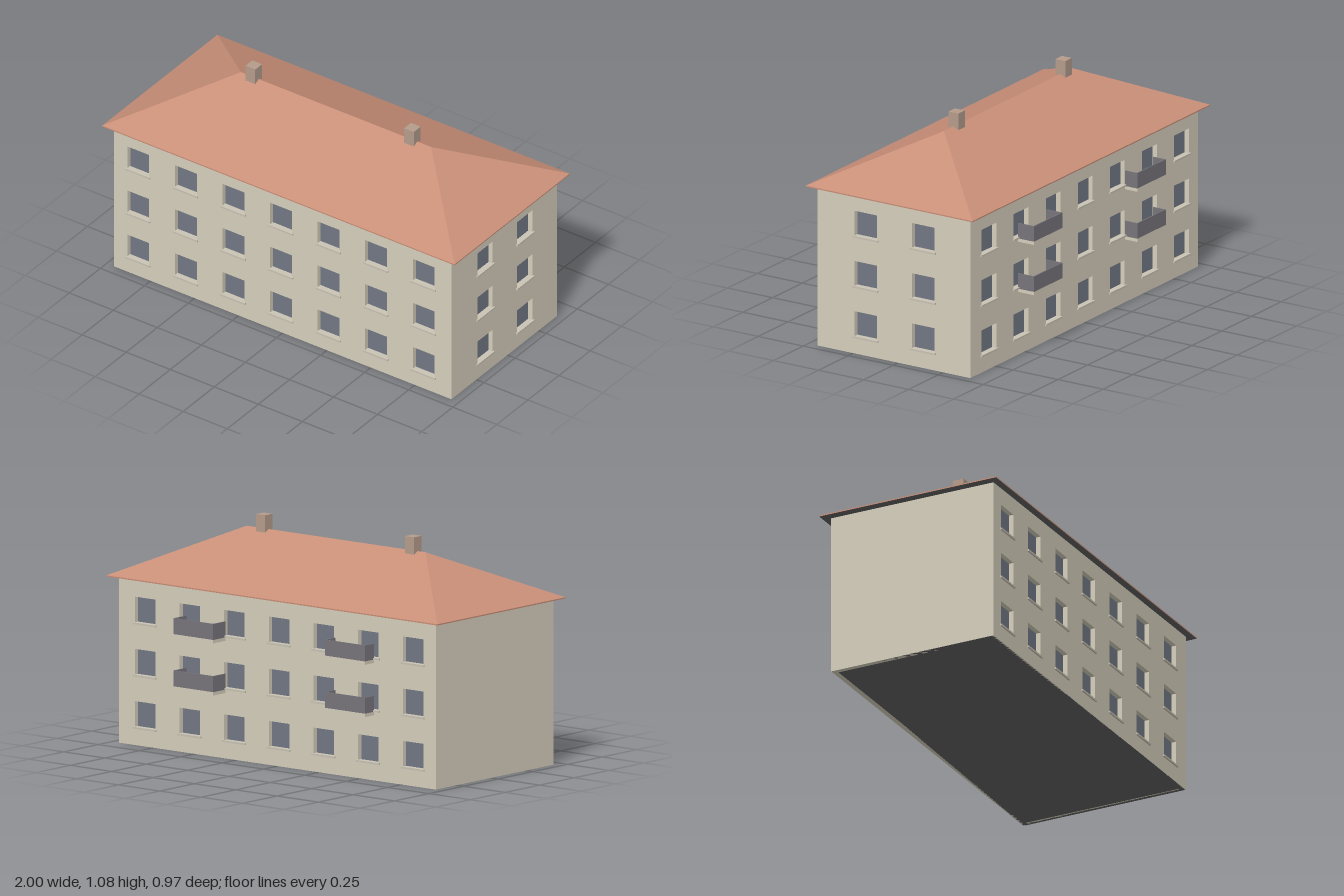
import * as THREE from 'three';

const paint = (color) => new THREE.MeshStandardMaterial({ color });
const plaster = paint(0xd6cfbc);
const sillStone = paint(0xc9c3b4);
const glass = paint(0x727884);
const tile = paint(0xc98f78);
const brick = paint(0xb59c8c);
const railing = paint(0x77747b);
const underside = paint(0x606060);

const HALF_X = 0.957, FRONT = 0.45, BACK = -0.4, EAVE = 0.785, RECESS = 0.025;
const MID_Z = (FRONT + BACK) / 2;
const FLOORS = [0.083, 0.329, 0.575];
const WIN = 0.124;

function add(parent, name, geometry, material, x = 0, y = 0, z = 0) {
  const mesh = new THREE.Mesh(geometry, material);
  mesh.name = name;
  mesh.position.set(x, y, z);
  parent.add(mesh);
  return mesh;
}

const box = (parent, name, material, w, h, d, x, y, z) =>
  add(parent, name, new THREE.BoxGeometry(w, h, d), material, x, y, z);

function rect(path, x0, y0, x1, y1) {
  path.moveTo(x0, y0);
  path.lineTo(x1, y0);
  path.lineTo(x1, y1);
  path.lineTo(x0, y1);
  path.closePath();
  return path;
}

// Wall with its outer face at local z = 0, recessed panes and projecting sills
function wall(name, width, columns) {
  const group = new THREE.Group();
  group.name = name;
  const shape = rect(new THREE.Shape(), -width / 2, 0, width / 2, EAVE);
  for (const y of FLOORS) {
    for (const x of columns) {
      shape.holes.push(rect(new THREE.Path(), x - WIN / 2, y, x + WIN / 2, y + WIN));
      add(group, 'windowPane', new THREE.PlaneGeometry(WIN, WIN), glass, x, y + WIN / 2, -RECESS + 0.001);
      box(group, 'windowSill', sillStone, 0.14, 0.009, 0.03, x, y - 0.001, -0.007);
    }
  }
  const geometry = new THREE.ExtrudeGeometry(shape, { depth: RECESS, bevelEnabled: false });
  add(group, 'wallPanel', geometry, plaster, 0, 0, -RECESS);
  return group;
}

// Hipped roof with a thin fascia
function roofGeometry() {
  const x = 1, z0 = -0.44, z1 = 0.485, low = EAVE - 0.002, high = EAVE + 0.004;
  const ring = (y) => [[-x, y, z1], [x, y, z1], [x, y, z0], [-x, y, z0]];
  const b = ring(low), t = ring(high);
  const left = [-0.54, 1.012, 0.022], right = [0.54, 1.012, 0.022];
  const faces = [
    [t[0], t[1], right, left],
    [t[1], t[2], right],
    [t[2], t[3], left, right],
    [t[3], t[0], left],
  ];
  for (let i = 0; i < 4; i++) {
    const j = (i + 1) % 4;
    faces.push([b[i], b[j], t[j], t[i]]);
  }
  const points = [];
  for (const f of faces) {
    for (let k = 1; k < f.length - 1; k++) points.push(...f[0], ...f[k], ...f[k + 1]);
  }
  const geometry = new THREE.BufferGeometry();
  geometry.setAttribute('position', new THREE.Float32BufferAttribute(points, 3));
  geometry.computeVertexNormals();
  return geometry;
}

// Slab with a parapet on three sides, projecting from the back wall
function balcony(x, y, depth) {
  const group = new THREE.Group();
  group.name = 'balcony';
  group.position.set(x, y, BACK);
  const w = 0.24, t = 0.005, h = 0.075, slab = 0.016;
  box(group, 'balconySlab', plaster, w, slab, depth, 0, slab / 2, -depth / 2);
  box(group, 'balconyFrontPanel', railing, w, h, t, 0, slab + h / 2, -depth + t / 2);
  for (const s of [-1, 1]) {
    box(group, 'balconySidePanel', railing, t, h, depth - t, s * (w - t) / 2, slab + h / 2, -(depth - t) / 2);
  }
  return group;
}

export function createModel() {
  const model = new THREE.Group();
  model.name = 'apartmentBuilding';

  // Long walls, seven windows per floor
  const columns = Array.from({ length: 7 }, (_, i) => -0.82 + i * 0.27);
  const front = wall('frontWall', 2 * HALF_X, columns);
  front.position.z = FRONT;
  const back = wall('backWall', 2 * HALF_X, columns.map((x) => -x));
  back.position.z = BACK;
  back.rotation.y = Math.PI;

  // End walls fit between the long ones; only one has windows
  const endWidth = FRONT - BACK - 2 * RECESS;
  const leftEnd = wall('leftEndWall', endWidth, [0.18, -0.138].map((z) => MID_Z - z));
  leftEnd.position.set(HALF_X, 0, MID_Z);
  leftEnd.rotation.y = Math.PI / 2;
  const rightEnd = wall('rightEndWall', endWidth, []);
  rightEnd.position.set(-HALF_X, 0, MID_Z);
  rightEnd.rotation.y = -Math.PI / 2;
  model.add(front, back, leftEnd, rightEnd);

  // Base and eaves undersides
  const base = add(model, 'base', new THREE.PlaneGeometry(2 * HALF_X, FRONT - BACK), underside, 0, 0, MID_Z);
  base.rotation.x = Math.PI / 2;
  const soffit = add(model, 'soffit', new THREE.PlaneGeometry(2, 0.925), underside, 0, EAVE - 0.002, 0.0225);
  soffit.rotation.x = Math.PI / 2;

  // Roof and chimneys
  add(model, 'roof', roofGeometry(), tile);
  for (const x of [-0.467, 0.433]) {
    box(model, 'chimney', brick, 0.055, 0.1, 0.055, x, 1.03, 0.022);
  }

  // Balconies on the two upper floors
  for (const y of [0.308, 0.554]) {
    model.add(balcony(-0.465, y, 0.068), balcony(0.435, y, 0.088));
  }
  return model;
}
